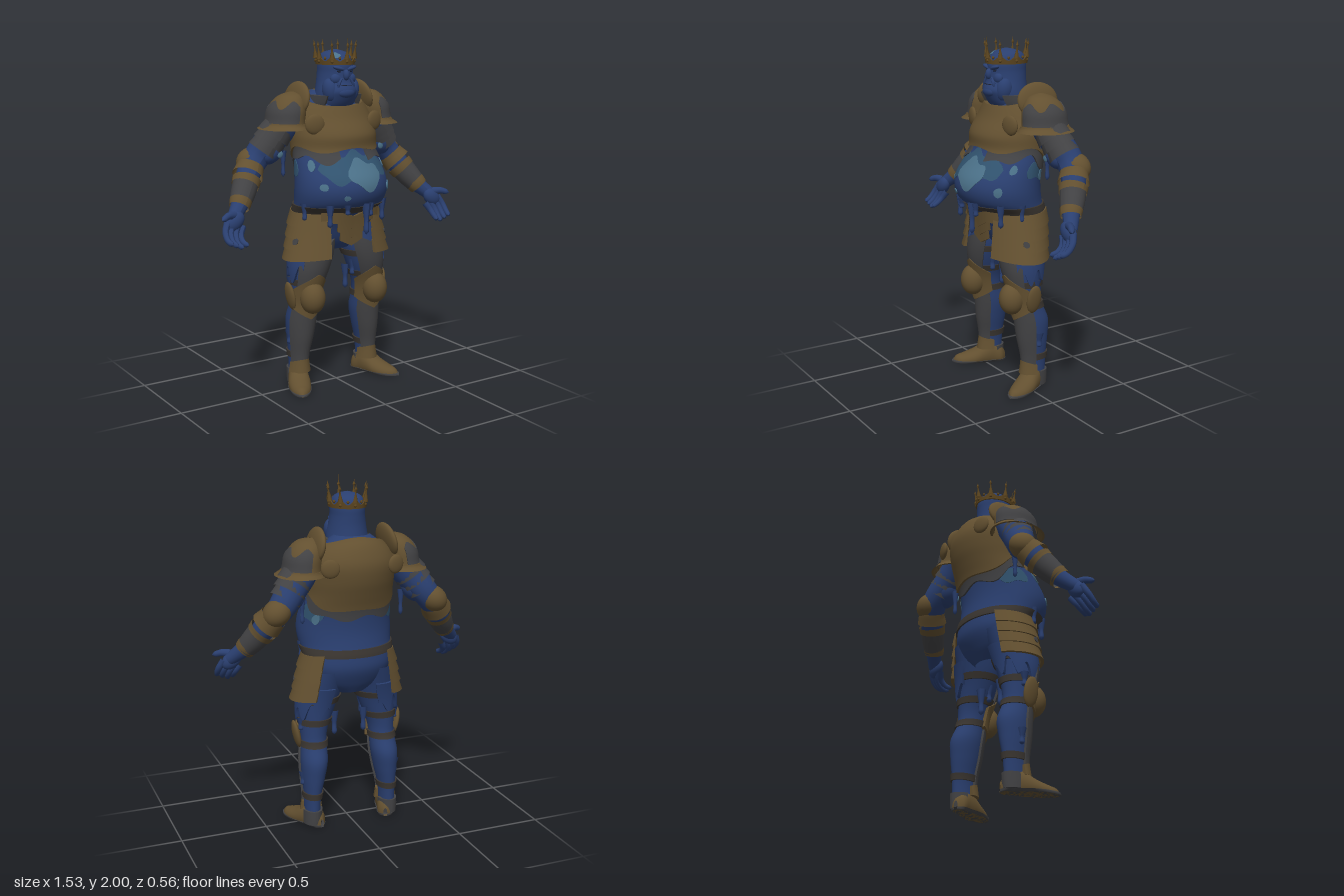
import * as THREE from 'three';
import { mergeVertices, toCreasedNormals } from 'three/addons/utils/BufferGeometryUtils.js';

const PI = Math.PI, { sin, cos, abs, sqrt, max } = Math;
const paint = (name, color, side = THREE.FrontSide) => {
  const m = new THREE.MeshStandardMaterial({ color, side });
  m.name = name;
  return m;
};
const skin = paint('blue skin', 0x2a3f70), pale = paint('pale blotch', 0x4b7189), teal = paint('teal blotch', 0x31536f);
const bronze = paint('bronze', 0x635030, THREE.DoubleSide), steel = paint('dark steel', 0x424244, THREE.DoubleSide);
const gold = paint('old gold', 0x5c451f, THREE.DoubleSide), strap = paint('strap', 0x3a3530, THREE.DoubleSide);
const dark = paint('dark', 0x1c2233);

// Profiles: [y, half width, front z, back z, centre x]
const TORSO = [[.8, .1, .05, -.12], [.86, .2, .09, -.16], [.95, .245, .13, -.2], [1.03, .258, .18, -.2], [1.08, .268, .25, -.19],
  [1.15, .275, .28, -.18], [1.22, .27, .268, -.18], [1.3, .255, .215, -.19], [1.38, .235, .165, -.215], [1.46, .235, .16, -.24],
  [1.55, .225, .105, -.25], [1.62, .19, .07, -.23], [1.67, .14, .04, -.2], [1.7, .1, 0, -.16]];
const HEAD = [[1.55, .12, .02, -.18], [1.62, .12, .085, -.155], [1.67, .117, .115, -.135], [1.7, .113, .125, -.13], [1.75, .103, .105, -.125],
  [1.8, .096, .1, -.125], [1.84, .095, .1, -.125], [1.88, .088, .085, -.115], [1.91, .06, .05, -.08], [1.925, .004, -.005, -.015]];
const CROWN = [[1.83, .098, .105, -.128], [1.9, .104, .11, -.134]];
const LEG = [[.06, .045, .02, -.12, .235], [.18, .048, .02, -.125, .233], [.3, .066, .04, -.14, .225], [.4, .077, .05, -.145, .218],
  [.5, .073, .06, -.105, .212], [.58, .08, .08, -.1, .207], [.7, .106, .11, -.11, .187], [.8, .118, .115, -.13, .165], [.94, .12, .1, -.17, .14]];
const SKIRT = [[.74, .33, .195, -.19], [.9, .295, .185, -.205], [1.06, .26, .18, -.215]];
const FAULD = [[.8, .26, .14, -.1], [.95, .26, .165, -.15], [1.06, .27, .19, -.2]];
const PAULDRON = [[1.495, .13, .08, -.23, .3], [1.52, .108, .06, -.212, .29], [1.6, .102, .05, -.2, .277], [1.65, .085, .025, -.175, .262],
  [1.683, .052, -.015, -.13, .25], [1.695, .008, -.07, -.09, .24]];

// Smooth reading of a profile at height y
function section(rows, y) {
  const n = rows.length;
  let k = 0;
  while (k < n - 2 && y > rows[k + 1][0]) k++;
  const A = rows[k], B = rows[k + 1], h = B[0] - A[0], t = (y - A[0]) / h, t2 = t * t, t3 = t2 * t;
  const slope = (i, c) => {
    const p = rows[max(0, i - 1)], q = rows[Math.min(n - 1, i + 1)];
    return ((q[c] || 0) - (p[c] || 0)) / (q[0] - p[0]);
  };
  return [1, 2, 3, 4].map(c => (2 * t3 - 3 * t2 + 1) * (A[c] || 0) + (t3 - 2 * t2 + t) * h * slope(k, c) +
    (3 * t2 - 2 * t3) * (B[c] || 0) + (t3 - t2) * h * slope(k + 1, c));
}
function surface(rows, a, y, off = 0) {
  const [rx, zf, zb, cx] = section(rows, y);
  return [cx + (rx + off) * sin(a), y, (zf + zb) / 2 + ((zf - zb) / 2 + off) * cos(a)];
}
function grid(point, nu, nv) {
  const pos = [], idx = [];
  for (let j = 0; j <= nv; j++) for (let i = 0; i <= nu; i++) pos.push(...point(i, j));
  for (let j = 0; j < nv; j++) for (let i = 0; i < nu; i++) {
    const p = j * (nu + 1) + i, q = p + nu + 1;
    idx.push(p, p + 1, q + 1, p, q + 1, q);
  }
  const g = new THREE.BufferGeometry();
  g.setAttribute('position', new THREE.Float32BufferAttribute(pos, 3));
  g.setIndex(idx);
  const m = mergeVertices(g, 1e-5);
  m.computeVertexNormals();
  return m;
}
// Closed smooth form over a whole profile
function loft(rows, nu = 40, nv = 48) {
  const y0 = rows[0][0], y1 = rows[rows.length - 1][0];
  return grid((i, j) => surface(rows, (i % nu) / nu * 2 * PI, y0 + (y1 - y0) * j / nv), nu, nv);
}
// Plate following a profile, edges folded inwards; lo, hi may vary with the angle
function plate(rows, a0, a1, lo, hi, off = .012, flare = 0, nu = 36, nv = 12) {
  const f = (v, a) => typeof v === 'function' ? v(a) : v, full = a1 - a0 > 6.28;
  const g = grid((i, j) => {
    const u = Math.min(max(i - 1, 0), nu) / nu, v = Math.min(max(j - 1, 0), nv) / nv;
    const a = a0 + (a1 - a0) * u, l = f(lo, a), h = f(hi, a);
    const edge = j === 0 || j === nv + 2 || (!full && (i === 0 || i === nu + 2));
    return surface(rows, a, l + (h - l) * v, edge ? -.003 : off + flare * (1 - v));
  }, nu + 2, nv + 2);
  return toCreasedNormals(g, .8);
}
const blotch = (rows, a0, y0, ra, ry, off = .004) => {
  const r = a => sqrt(max(0, 1 - ((a - a0) / ra) ** 2)) * ry;
  return plate(rows, a0 - ra, a0 + ra, a => y0 - r(a) * (1 + .3 * sin(a * 9)), a => y0 + r(a) * (1 + .25 * cos(a * 11)), off, 0, 24, 8);
};
// Round limb with changing thickness
function limb(points, radii, seg = 24, sides = 16) {
  const curve = new THREE.CatmullRomCurve3(points.map(p => new THREE.Vector3(...p)));
  const g = new THREE.TubeGeometry(curve, seg, 1, sides), p = g.attributes.position, v = new THREE.Vector3();
  for (let i = 0; i <= seg; i++) {
    const t = curve.getUtoTmapping(i / seg) * (radii.length - 1), k = Math.min(radii.length - 2, Math.floor(t));
    const r = THREE.MathUtils.lerp(radii[k], radii[k + 1], t - k), c = curve.getPointAt(i / seg);
    for (let j = 0; j <= sides; j++) {
      const n = i * (sides + 1) + j;
      v.fromBufferAttribute(p, n).sub(c).multiplyScalar(r).add(c);
      p.setXYZ(n, v.x, v.y, v.z);
    }
  }
  g.computeVertexNormals();
  return g;
}
const egg = (x, y, z, rx, ry, rz, turn = 0) => new THREE.SphereGeometry(1, 24, 16).scale(rx, ry, rz).rotateZ(turn).translate(x, y, z);
const drip = (x, y, z, len, r = .013) => limb([[x, y, z], [x, y - len * .55, z], [x, y - len * .9, z], [x, y - len, z]], [r * 1.6, r * .75, r, .001], 12, 8);
const disc = (x, y, z, r, tilt) => new THREE.SphereGeometry(r, 24, 12).scale(1, 1, .35).rotateY(tilt).translate(x, y, z);

function mirrored(geo) {
  const g = (geo.index ? geo.clone() : mergeVertices(geo)).scale(-1, 1, 1), ix = g.index.array;
  for (let i = 0; i < ix.length; i += 3) [ix[i], ix[i + 1]] = [ix[i + 1], ix[i]];
  return g;
}

export function createModel() {
  const model = new THREE.Group();
  model.name = 'armouredKing';
  const add = (name, geo, mat) => {
    const m = new THREE.Mesh(geo, mat);
    m.name = name;
    model.add(m);
  };
  const pair = (name, geo, mat) => { add(name + 'Left', geo, mat); add(name + 'Right', mirrored(geo), mat); };

  // Torso and its armour
  add('torso', loft(TORSO, 56, 64), skin);
  const hem = a => 1.345 + .045 * cos(a) + .05 * sin(a) ** 4 - .02 * sin(2 * a) ** 2;
  add('underPlate', plate(TORSO, .35, 2 * PI - .35, a => hem(a) - .05 - .015 * sin(a * 7), 1.5, .01, 0, 72), steel);
  add('cuirass', plate(TORSO, 0, 2 * PI, hem, a => 1.655 - .04 * cos(a), .022, 0, 72, 20), bronze);
  add('collar', plate(HEAD, .9, 2 * PI - .9, 1.6, 1.675, .028), steel);
  add('belt', plate(TORSO, 0, 2 * PI, 1.025, 1.07, .01, 0, 64), strap);
  add('bellyTint', blotch(TORSO, 0, 1.285, .95, .08, .003), teal);
  add('bellyBlotch', blotch(TORSO, .12, 1.25, .42, .075, .006), pale);
  pair('flankTint', blotch(TORSO, 2, 1.27, .4, .05, .003), teal);
  for (const [a, y, ra, ry] of [[-.85, 1.19, .1, .025], [-1.1, 1.3, .1, .025], [.95, 1.17, .1, .025], [1.2, 1.28, .1, .025], [-.35, 1.13, .07, .015], [2.2, 1.24, .1, .025]])
    add('spot', blotch(TORSO, a, y, ra, ry, .006), pale);
  for (const [a, len, r] of [[-.7, .13, .016], [-.3, .06, .016], [.17, .18, .017], [.3, .08, .015], [.95, .13, .016], [-1.4, .1, .015], [1.5, .1, .015]]) {
    const [x, y, z] = surface(TORSO, a, 1.09, -.012);
    add('bellyDrip', drip(x, y, z, len, r), skin);
  }

  // Waist lames in front and hanging hip plates
  [[.975, 1.04, .75], [.925, .99, .36], [.88, .94, .28]].forEach(([lo, hi, w], i) =>
    add('waistLame' + i, plate(FAULD, -w, w, a => lo - .045 * max(0, 1 - abs(a) / .35), a => hi - .03 * max(0, 1 - abs(a) / .35), .012 - i * .003, .008), bronze));
  for (let i = 0; i < 4; i++)
    pair('hipPlate' + i, plate(SKIRT, .52 - i * .02, 2.35, a => .965 - i * .064 + .012 * cos(2 * a), a => 1.04 - i * .064 + .012 * cos(2 * a), .004, .012), bronze);
  pair('hipSpot', blotch(SKIRT, 1.3, .87, .08, .02, .016), steel);

  // Head and face
  add('head', loft(HEAD), skin);
  add('nose', egg(0, 1.787, .102, .018, .03, .02), skin);
  add('chin', egg(0, 1.69, .1, .055, .03, .028), skin);
  add('mouth', egg(0, 1.73, .106, .038, .004, .008), dark);
  pair('brow', egg(.038, 1.823, .088, .038, .012, .018, .25), skin);
  pair('eye', egg(.036, 1.806, .087, .014, .005, .008, .15), dark);
  pair('cheek', egg(.045, 1.765, .07, .036, .032, .026), skin);
  pair('jowl', egg(.068, 1.7, .045, .045, .07, .05, -.15), skin);
  pair('lipFold', limb([[.025, 1.77, .1], [.045, 1.74, .1], [.05, 1.7, .095]], [.004, .01, .004], 10, 8), skin);
  add('scalpBlotch', blotch(HEAD, -.55, 1.895, .35, .012), pale);

  // Crown
  add('crownBand', plate(CROWN, 0, 2 * PI, 1.842, a => 1.874 + .012 * cos(8 * a), .004, 0, 96, 6), gold);
  for (let i = 0; i < 8; i++) {
    const a = i * PI / 4, [x, , z] = surface(CROWN, a, 1.88), tip = i === 0 ? 2 : 1.975;
    const ox = sin(a) * .012, oz = cos(a) * .012;
    add('crownSpike', limb([[x, 1.875, z], [x + ox * .4, 1.92, z + oz * .4], [x + ox, tip, z + oz]], [.016, .005, .0008], 10, 6), gold);
    add('crownBud', new THREE.OctahedronGeometry(1).scale(.009, .02, .009).translate(x + ox * .7, 1.948, z + oz * .7), gold);
    add('crownStud', egg(x, 1.86, z, .009, .009, .009), gold);
    const [bx, by, bz] = surface(CROWN, a + PI / 8, 1.878);
    add('crownPearl', egg(bx, by, bz, .007, .009, .007), gold);
  }

  // Shoulder guards
  pair('shoulderGuard', loft(PAULDRON, 40, 30), bronze);
  pair('shoulderInset', plate(PAULDRON, -.1, 3.2, 1.53, a => 1.628 + .022 * sin(a * 5), .005), steel);
  pair('shoulderRim', plate(PAULDRON, 0, 2 * PI, 1.495, 1.525, .005, .004), bronze);
  pair('shoulderFin', egg(.21, 1.652, -.08, .032, .1, .13, .2), bronze);
  pair('frontRoundel', disc(.197, 1.525, .09, .056, .25), bronze);
  pair('backRoundel', disc(.19, 1.55, -.25, .052, -.3), bronze);

  // Arms
  pair('arm', limb([[.24, 1.58, -.08], [.33, 1.47, -.1], [.43, 1.34, -.145], [.5, 1.25, -.12], [.58, 1.13, -.05], [.68, 1.03, .025]],
    [.09, .09, .075, .068, .052, .035], 36), skin);
  pair('innerArm', egg(.362, 1.375, -.11, .09, .065, .072, -.9), skin);
  for (let i = 0; i < 3; i++) {
    const x = .318 + i * .028, y = 1.5 - i * .041, z = -.09 - i * .012;
    pair('armLame' + i, limb([[x, y, z], [x + .02, y - .03, z - .007], [x + .034, y - .05, z - .012]], [.089 - i * .004, .094 - i * .004, .097 - i * .004], 6, 28), steel);
  }
  pair('elbowGuard', egg(.464, 1.315, -.162, .085, .072, .08, -.7), bronze);
  pair('elbowBand', limb([[.475, 1.29, -.138], [.49, 1.268, -.128], [.51, 1.24, -.112]], [.076, .08, .087], 8, 24), bronze);
  pair('bracer', limb([[.525, 1.215, -.1], [.565, 1.155, -.065], [.605, 1.1, -.03]], [.073, .068, .058], 8, 24), steel);
  pair('bracerCuff', limb([[.52, 1.222, -.105], [.53, 1.206, -.095], [.54, 1.192, -.087]], [.08, .078, .076], 4, 24), bronze);
  pair('wristCuff', limb([[.59, 1.122, -.043], [.602, 1.104, -.032], [.612, 1.09, -.025]], [.062, .06, .056], 4, 24), bronze);
  pair('armSpot', egg(.34, 1.355, -.045, .018, .02, .007, .3), pale);
  pair('armDrip', drip(.295, 1.37, -.09, .15), skin);

  // Hands
  pair('palm', egg(.668, 1.025, .03, .064, .046, .036, -.75), skin);
  pair('thumb', limb([[.67, 1.06, .03], [.715, 1.065, .05], [.75, 1.055, .068], [.766, 1.05, .075]], [.024, .02, .016, .002], 12, 10), skin);
  for (let i = 0; i < 4; i++) {
    const x = .735 - i * .03, y = 1.01 - i * .012, d = i === 3 ? .75 : 1;
    pair('finger' + i, limb([[x - .025, y + .02, .03], [x, y - .03 * d, .052], [x + .004, y - .07 * d, .085], [x - .004, y - .085 * d, .115], [x - .008, y - .088 * d, .125]],
      [.02, .018, .016, .014, .002], 14, 10), skin);
  }

  // Legs
  pair('leg', loft(LEG, 32, 48), skin);
  pair('thighPlate', plate(LEG, -.8, 1.05, .6, a => .835 - .04 * sin(a * 1.5), .014), steel);
  pair('thighSlime', plate(LEG, .8, 3.4, a => .69 + .045 * sin(a * 8) + .02 * sin(a * 3), .84, .018, 0, 64), skin);
  pair('greave', plate(LEG, -1.05, 1.3, a => .12 + .03 * cos(a), .5, .013), steel);
  pair('kneeSkirt', plate(LEG, -1.25, 1.3, a => .415 + .055 * abs(a), a => .685 - .07 * abs(a), .02, .004), bronze);
  pair('kneeGuard', egg(.213, .545, .085, .072, .092, .076), bronze);
  pair('kneeWing', egg(.308, .55, 0, .02, .085, .046, -.2), bronze);
  for (const y of [.19, .5, .63, .76]) pair('legStrap', plate(LEG, .6, 2 * PI - .6, y - .018, y + .018, .009), strap);
  for (const [x, y, z, len] of [[.09, .68, -.04, .15], [.29, .66, -.03, .08], [.288, .34, -.05, .09], [.1, .72, .02, .1]])
    pair('legDrip', drip(x, y, z, len, .017), skin);

  // Feet: lofted along their length, flattened underneath
  const foot = (grow, height) => {
    const rows = [[-.075, .012, .01, -.05], [-.055, .042, .03, -.09], [0, .052, .03, -.135], [.05, .06, .03, -.12], [.11, .064, .03, -.08],
      [.18, .052, .03, -.052], [.228, .027, .02, -.035], [.243, .004, 0, -.01]].map(([l, w, f, b]) => [l * grow, w * grow, f, b]);
    const g = loft(rows, 28, 32).rotateX(PI / 2), p = g.attributes.position;
    for (let i = 0; i < p.count; i++) p.setY(i, Math.min(height, max(0, p.getY(i))));
    g.computeVertexNormals();
    return g.rotateY(.42).translate(.23, 0, -.058);
  };
  pair('shoe', foot(1, 1), bronze);
  pair('sole', foot(1.035, .014), steel);
  pair('heelCap', plate(LEG, 1.7, 2 * PI - 1.7, .015, .1, .012), steel);
  pair('ankleGuard', plate(LEG, -1.4, 1.4, .09, a => .14 + .03 * cos(a), .013, .01), bronze);
  return model;
}
